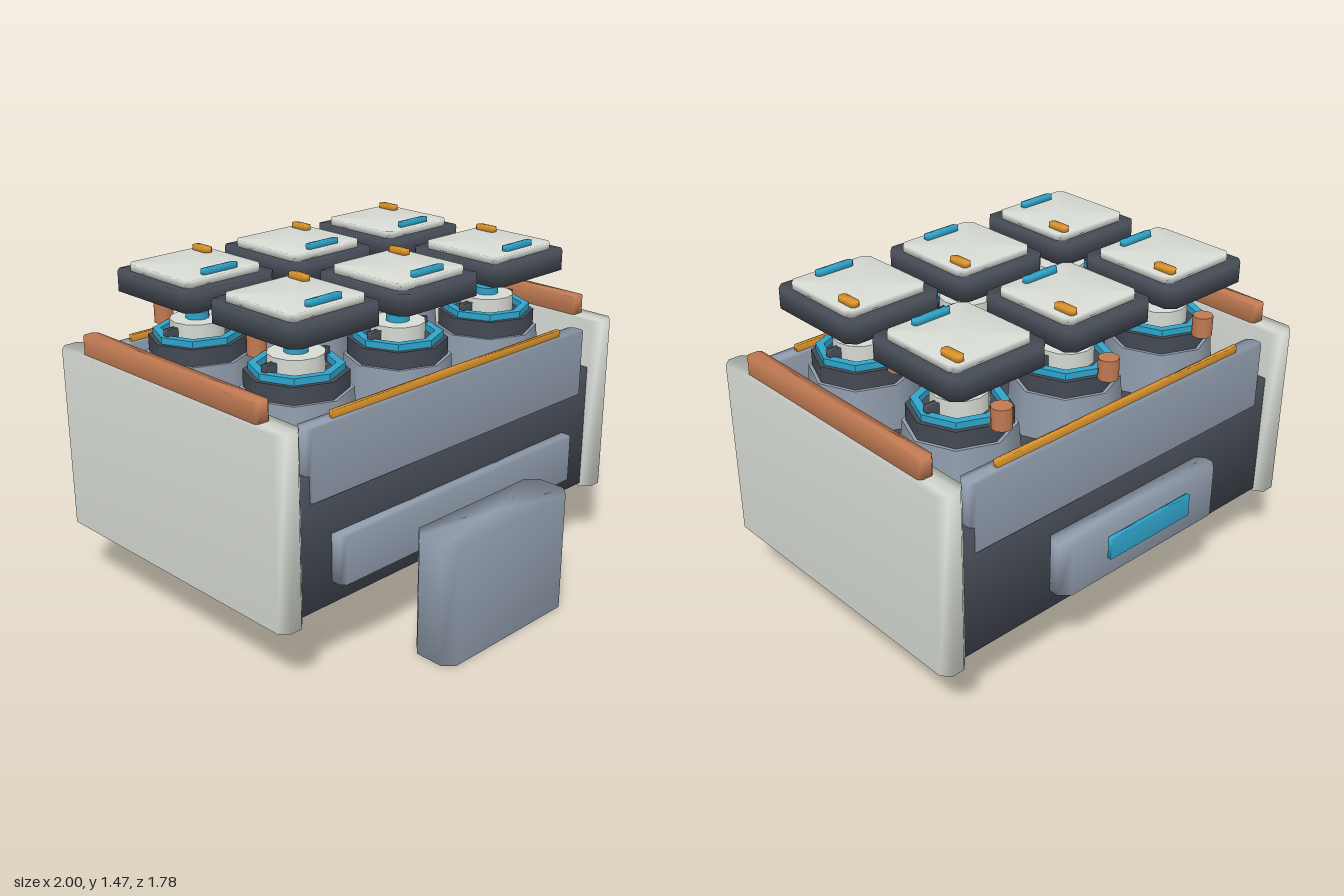
import * as THREE from 'three';

const mat = (color) => new THREE.MeshStandardMaterial({ color });
const DARK = mat(0x444a54), STEEL = mat(0x8f9bab), PALE = mat(0xd6dad3);
const COPPER = mat(0xc07a52), BLUE = mat(0x2fa3c9), AMBER = mat(0xdc942c);

// Upright slab with clipped corners in plan and soft shared normals
function slabGeometry(w, h, d, c) {
  const x = w / 2, z = d / 2, y = h / 2;
  const plan = [[-x + c, z], [x - c, z], [x, z - c], [x, -z + c],
    [x - c, -z], [-x + c, -z], [-x, -z + c], [-x, z - c]];
  const pos = [], index = [];
  for (const level of [-y, y]) for (const [px, pz] of plan) pos.push(px, level, pz);
  pos.push(0, -y, 0, 0, y, 0);
  for (let i = 0; i < 8; i++) {
    const j = (i + 1) % 8;
    index.push(i, j, j + 8, i, j + 8, i + 8, 16, j, i, 17, i + 8, j + 8);
  }
  const g = new THREE.BufferGeometry();
  g.setAttribute('position', new THREE.Float32BufferAttribute(pos, 3));
  g.setIndex(index);
  g.computeVertexNormals();
  return g;
}

function add(parent, name, geometry, material, x, y, z) {
  const m = new THREE.Mesh(geometry, material);
  m.name = name;
  m.position.set(x, y, z);
  parent.add(m);
  return m;
}

// Slab given by its ranges on each axis
function slab(parent, name, material, [x0, x1], [y0, y1], [z0, z1], c = 0.02) {
  return add(parent, name, slabGeometry(x1 - x0, y1 - y0, z1 - z0, c), material,
    (x0 + x1) / 2, (y0 + y1) / 2, (z0 + z1) / 2);
}

// Upright round part given by its bottom and top heights
function post(parent, name, material, r, y0, y1, z = 0, sides = 8, rBottom = r) {
  return add(parent, name, new THREE.CylinderGeometry(r, rBottom, y1 - y0, sides), material, 0, (y0 + y1) / 2, z);
}

// Flat eight-sided ring
function ringGeometry(outer, inner, h) {
  const profile = [[inner, 0], [outer, 0], [outer, h], [inner, h], [inner, 0]];
  const g = new THREE.LatheGeometry(profile.map(([r, y]) => new THREE.Vector2(r, y)), 8).toNonIndexed();
  g.computeVertexNormals();
  return g;
}

// One socket with its stem, peg and floating cap
function createKey() {
  const key = new THREE.Group();
  key.name = 'key';
  post(key, 'socketCollar', STEEL, 0.225, 0.86, 1.075, 0, 8, 0.245);
  post(key, 'socketBase', DARK, 0.21, 1.075, 1.147);
  add(key, 'socketRing', ringGeometry(0.19, 0.155, 0.03), BLUE, 0, 1.145, 0);
  post(key, 'stem', PALE, 0.117, 1.14, 1.222, 0, 12);
  post(key, 'stemButton', BLUE, 0.05, 1.222, 1.253, 0, 12);
  slab(key, 'stemCrossbar', DARK, [-0.17, 0.17], [1.14, 1.202], [-0.015, 0.015], 0.005);
  post(key, 'peg', COPPER, 0.043, 1.15, 1.24, -0.235, 10);
  slab(key, 'capBase', DARK, [-0.233, 0.233], [1.335, 1.422], [-0.252, 0.252], 0.035);
  slab(key, 'capTop', PALE, [-0.197, 0.197], [1.42, 1.452], [-0.2, 0.2], 0.025);
  slab(key, 'capBlueBar', BLUE, [-0.09, 0.09], [1.45, 1.473], [0.142, 0.174], 0.01);
  slab(key, 'capAmberBar', AMBER, [0.127, 0.167], [1.45, 1.473], [-0.188, -0.087], 0.01);
  return key;
}

export function createModel() {
  const model = new THREE.Group();
  model.name = 'console';

  // Main case and underside tray
  slab(model, 'case', DARK, [-0.92, 0.92], [0.31, 0.88], [-0.745, 0.575], 0.04);
  slab(model, 'undersideTray', STEEL, [-0.712, 0.712], [0.235, 0.32], [-0.51, 0.353], 0.04);

  // Side panels with copper rails
  for (const s of [-1, 1]) {
    const side = new THREE.Group();
    side.name = s > 0 ? 'leftSide' : 'rightSide';
    slab(side, 'sidePanel', PALE, [-0.0625, 0.0625], [0.295, 1.095], [-0.783, 0.617], 0.035);
    slab(side, 'sideRail', COPPER, [-0.036, 0.036], [1.085, 1.175], [-0.635, 0.465], 0.015);
    side.position.x = s * 0.9375;
    model.add(side);
  }

  // Front and back walls with amber strips
  for (const [name, z] of [['front', 0.543], ['back', -0.708]]) {
    slab(model, name + 'Wall', STEEL, [-0.832, 0.832], [0.77, 1.065], [z - 0.041, z + 0.041]);
    slab(model, name + 'Strip', AMBER, [-0.685, 0.685], [1.06, 1.093], [z - 0.011, z + 0.011], 0.005);
  }

  // Front plate and hanging block
  slab(model, 'frontPlate', STEEL, [-0.712, 0.712], [0.405, 0.61], [0.555, 0.637]);
  slab(model, 'hangerMount', DARK, [-0.29, 0.29], [0.06, 0.48], [0.62, 0.69]);
  slab(model, 'hangingBlock', STEEL, [-0.377, 0.377], [0, 0.535], [0.673, 0.89], 0.045);

  // Back plate and window
  slab(model, 'backPlate', STEEL, [-0.457, 0.457], [0.43, 0.663], [-0.857, -0.735], 0.04);
  slab(model, 'backWindow', BLUE, [-0.234, 0.234], [0.53, 0.625], [-0.89, -0.866], 0.005);

  // Three by two keys
  for (const z of [0.23, -0.382]) {
    for (const x of [-0.567, 0, 0.567]) {
      const key = createKey();
      key.position.set(x, 0, z);
      model.add(key);
    }
  }
  return model;
}
